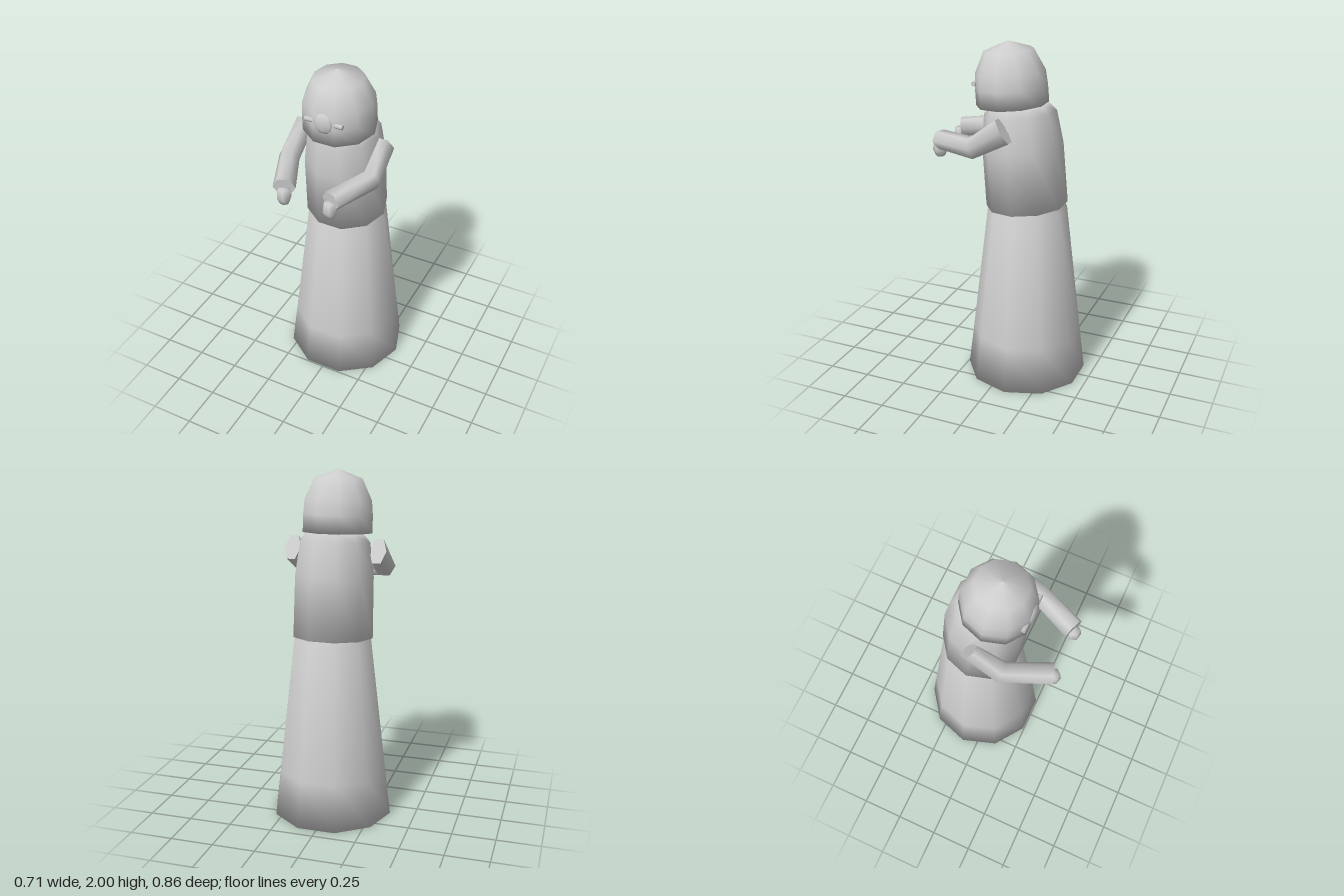
import * as THREE from 'three';

const grey = new THREE.MeshStandardMaterial({ color: 0xcccccc });
grey.name = 'plain grey';

// Faceted solid of revolution, profile listed from the bottom up as [radius, height]
function turned(name, profile, sides, position, tilt = 0) {
  const points = profile.map(([r, y]) => new THREE.Vector2(r, y));
  const mesh = new THREE.Mesh(new THREE.LatheGeometry(points, sides, Math.PI / 10), grey);
  mesh.name = name;
  mesh.position.set(...position);
  mesh.rotation.x = tilt;
  return mesh;
}

// Capped hexagonal sleeve through rings of { c: centre, u: side axis, v: up axis }
function sleeve(rings, side) {
  const positions = [], index = [], n = 6;
  const addRing = ({ c, u, v }) => {
    for (let i = 0; i < n; i++) {
      const a = i / n * Math.PI * 2, cu = Math.cos(a), sv = Math.sin(a) / 0.866;
      const p = c.map((value, k) => value + u[k] * cu + v[k] * sv);
      positions.push(p[0] * side, p[1], p[2]);
    }
  };
  const face = (a, b, c) => index.push(...(side > 0 ? [a, b, c] : [a, c, b]));
  rings.forEach(addRing);
  for (let r = 0; r < rings.length - 1; r++) {
    for (let i = 0; i < n; i++) {
      const a = r * n + i, b = r * n + (i + 1) % n;
      face(a, b, a + n);
      face(b, b + n, a + n);
    }
  }
  // Separate cap corners keep the sleeve ends crisp
  const start = positions.length / 3;
  addRing(rings[0]);
  addRing(rings[rings.length - 1]);
  for (let i = 1; i < n - 1; i++) {
    face(start, start + i + 1, start + i);
    face(start + n, start + n + i, start + n + i + 1);
  }
  const geometry = new THREE.BufferGeometry();
  geometry.setAttribute('position', new THREE.Float32BufferAttribute(positions, 3));
  geometry.setIndex(index);
  geometry.computeVertexNormals();
  return geometry;
}

export function createModel() {
  const model = new THREE.Group();
  model.name = 'robedFigure';

  // Long flared skirt, then the leaning torso and domed head
  model.add(turned('skirt',
    [[0, 0], [0.355, 0], [0.322, 0.27], [0.228, 1.06], [0, 1.06]],
    10, [0, 0, -0.094]));
  model.add(turned('torso',
    [[0, 0], [0.236, 0], [0.231, 0.35], [0.205, 0.54], [0.165, 0.585], [0, 0.59]],
    10, [0, 1.068, -0.09], 0.08));
  model.add(turned('head',
    [[0, 0], [0.205, 0], [0.204, 0.1], [0.197, 0.18], [0.14, 0.3], [0, 0.35]],
    10, [0, 1.65, 0], 0.08));

  // Small faceted boss and crossbar on the face
  const boss = new THREE.Mesh(new THREE.SphereGeometry(0.062, 8, 6), grey);
  boss.name = 'faceBoss';
  boss.scale.z = 0.4;
  boss.position.set(0, 1.762, 0.194);
  const bar = new THREE.Mesh(new THREE.CylinderGeometry(0.014, 0.014, 0.22, 6), grey);
  bar.name = 'faceBar';
  bar.rotation.z = Math.PI / 2;
  bar.position.set(0, 1.765, 0.19);
  model.add(boss, bar);

  // Bent arms reaching forward, with little drooping hands
  const armRings = [
    { c: [0.25, 1.56, -0.05], u: [0.048, 0, 0], v: [0, 0.062, 0.038] },
    { c: [0.248, 1.446, 0.135], u: [0.061, 0, 0.004], v: [0, 0.055, 0.016] },
    { c: [0.138, 1.436, 0.387], u: [0.058, 0, -0.022], v: [0, 0.049, 0.004] },
  ];
  // The wrist ring is square to the forearm, its outer edge further forward
  armRings[2].u[2] = 0.022;
  for (const side of [1, -1]) {
    const arm = new THREE.Group();
    arm.name = side > 0 ? 'leftArm' : 'rightArm';
    const tube = new THREE.Mesh(sleeve(armRings, side), grey);
    tube.name = 'sleeve';
    const hand = turned('hand',
      [[0, -0.05], [0.026, -0.044], [0.042, -0.008], [0.036, 0.05], [0, 0.05]],
      6, [0.138 * side, 1.382, 0.39]);
    arm.add(tube, hand);
    model.add(arm);
  }
  return model;
}
